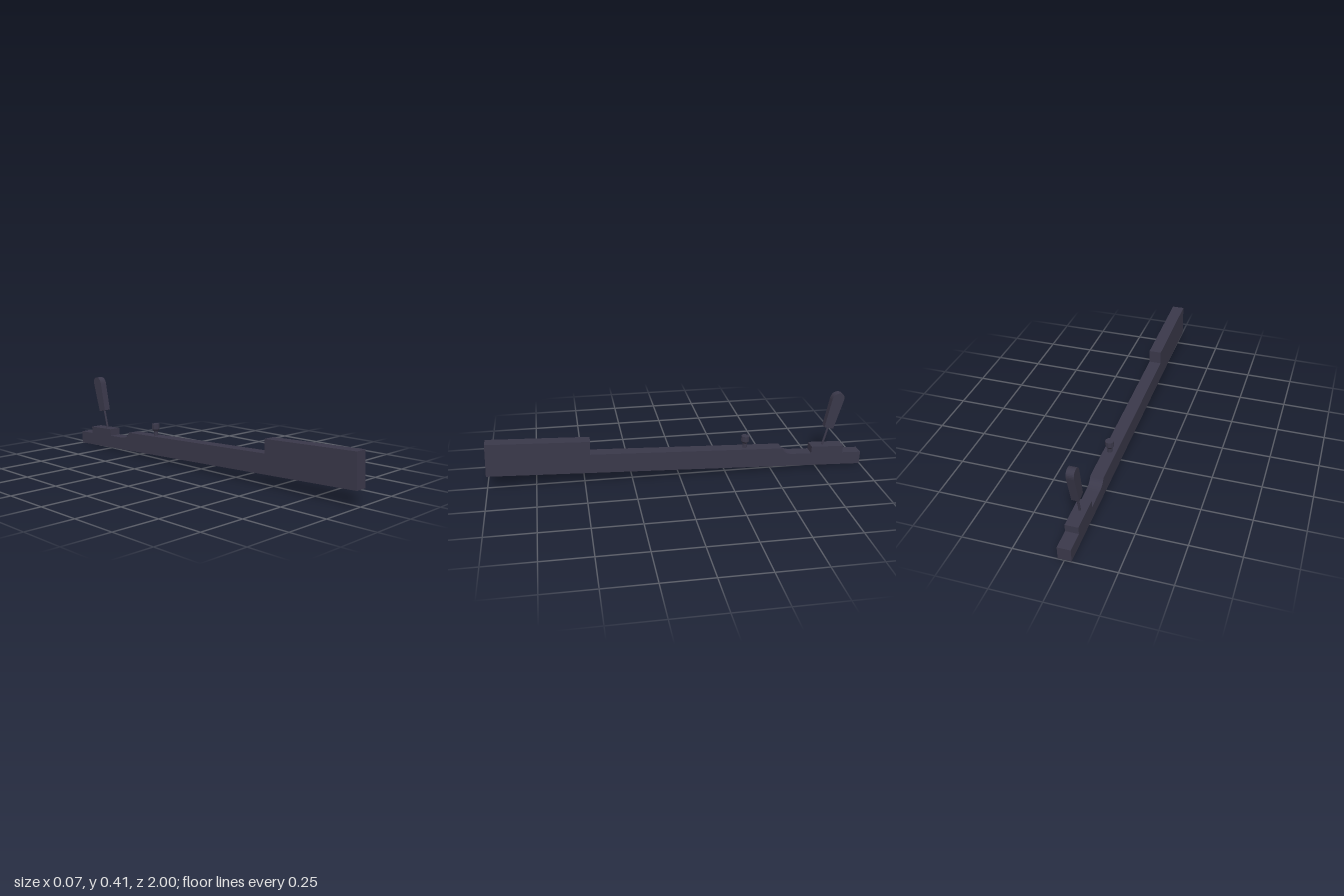
import * as THREE from 'three';

const SLOPE = 0.04;

// Extrudes a side outline, drawn with (-z, y), across the width in x
function sidePlate(shape, width, material, name) {
  const geo = new THREE.ExtrudeGeometry(shape, { depth: width, bevelEnabled: false, curveSegments: 8 });
  geo.translate(0, 0, -width / 2);
  geo.rotateY(Math.PI / 2);
  const mesh = new THREE.Mesh(geo, material);
  mesh.name = name;
  return mesh;
}

export function createModel() {
  const group = new THREE.Group();
  group.name = 'model';
  const dark = new THREE.MeshStandardMaterial({ color: 0x3a384a, flatShading: true });
  dark.name = 'dark slate';

  // Long sloping bar: tall front block, coved notch and raised rear pad
  const bar = new THREE.Shape();
  bar.moveTo(-1, 0.08);
  bar.lineTo(0.997, 0);
  bar.lineTo(1, 0.069);
  bar.lineTo(0.897, 0.073);
  bar.lineTo(0.899, 0.112);
  bar.lineTo(0.722, 0.119);
  bar.lineTo(0.72, 0.081);
  bar.lineTo(0.615, 0.085);
  bar.quadraticCurveTo(0.567, 0.088, 0.554, 0.122);
  bar.lineTo(-0.467, 0.163);
  bar.lineTo(-0.464, 0.235);
  bar.lineTo(-0.993, 0.256);
  bar.closePath();
  group.add(sidePlate(bar, 0.066, dark, 'bar'));

  // Small knob on a short stem
  const knobProfile = [[0, -0.01], [0.012, -0.01], [0.012, 0.025], [0.022, 0.038], [0.022, 0.067], [0, 0.067]]
    .map(([r, y]) => new THREE.Vector2(r, y));
  const knob = new THREE.Mesh(new THREE.LatheGeometry(knobProfile, 10), dark);
  knob.name = 'knob';
  knob.position.set(0, 0.129, -0.357);
  knob.rotation.x = -SLOPE;
  group.add(knob);

  // Lever rod leaning to the rear
  const from = new THREE.Vector3(0, 0.1, -0.786);
  const to = new THREE.Vector3(0, 0.23, -0.82);
  const dir = to.clone().sub(from);
  const rod = new THREE.Mesh(new THREE.CylinderGeometry(0.006, 0.006, dir.length(), 8), dark);
  rod.name = 'leverRod';
  rod.position.copy(from).add(to).multiplyScalar(0.5);
  rod.quaternion.setFromUnitVectors(new THREE.Vector3(0, 1, 0), dir.normalize());
  group.add(rod);

  // Tapered grip with a rounded top
  const grip = new THREE.Shape();
  grip.moveTo(0.79, 0.223);
  grip.lineTo(0.839, 0.211);
  grip.lineTo(0.886, 0.37);
  grip.bezierCurveTo(0.894, 0.4, 0.877, 0.411, 0.86, 0.411);
  grip.bezierCurveTo(0.842, 0.411, 0.828, 0.4, 0.822, 0.378);
  grip.closePath();
  group.add(sidePlate(grip, 0.038, dark, 'leverGrip'));

  return group;
}
